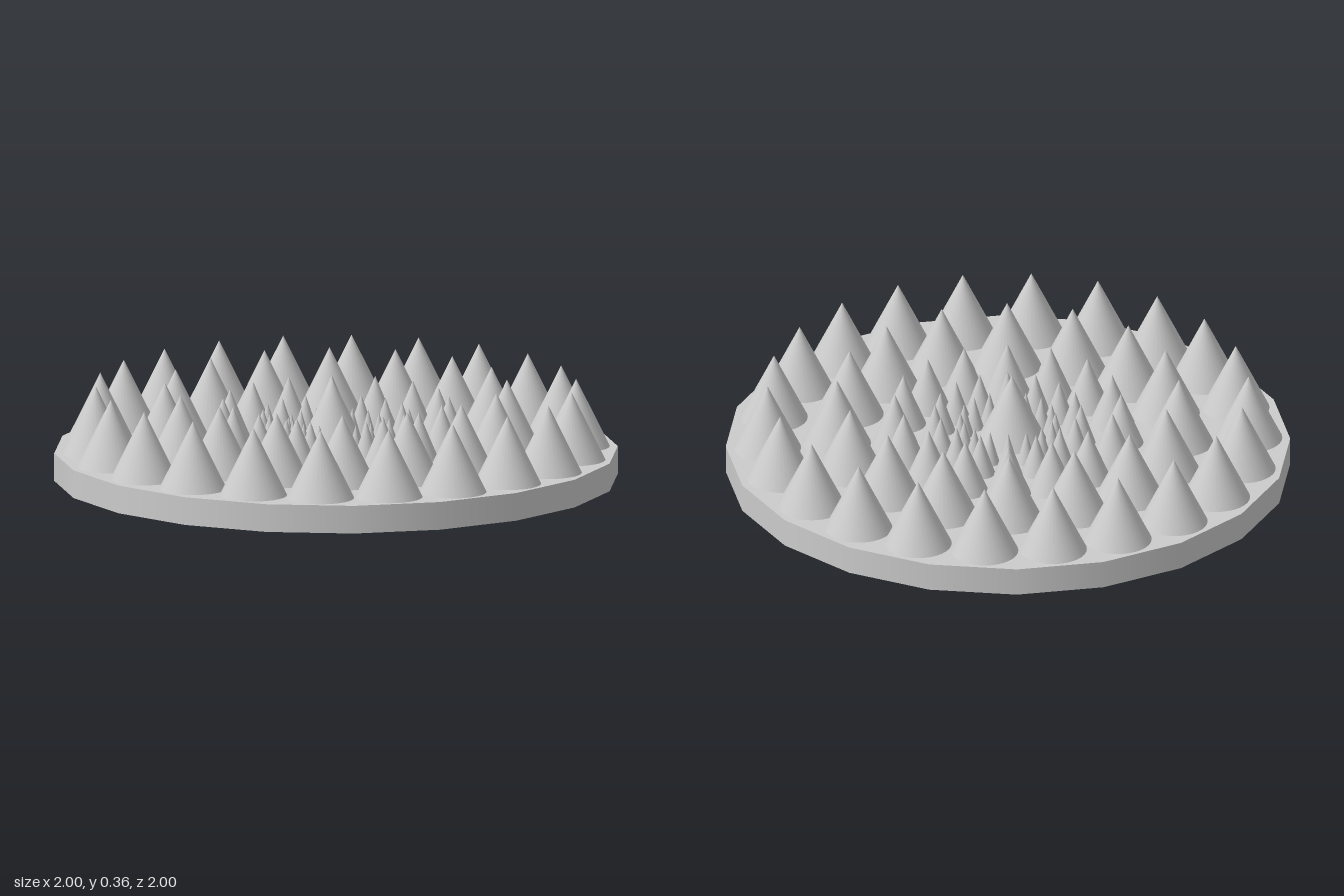
import * as THREE from 'three';

export function createModel() {
  const model = new THREE.Group();
  const grey = new THREE.MeshStandardMaterial({ color: 0xcccccc });
  const thin = new THREE.MeshStandardMaterial({ color: 0xcccccc, side: THREE.DoubleSide });

  // Shallow twenty-sided tray, open underneath
  const PLATE = 0.1;
  const plate = new THREE.Group();
  plate.name = 'plate';
  const rim = new THREE.Mesh(new THREE.CylinderGeometry(1, 1, PLATE, 20, 1, true), thin);
  rim.name = 'plateRim';
  rim.position.y = PLATE / 2;
  const top = new THREE.Mesh(new THREE.CircleGeometry(1, 20).rotateX(-Math.PI / 2), thin);
  top.name = 'plateTop';
  top.position.y = PLATE;
  plate.add(rim, top);
  model.add(plate);

  // One spike standing on the plate, from its base height to its tip
  function spike(name, radius, base, tip, x, z) {
    const geometry = new THREE.ConeGeometry(radius, tip - base, 32);
    const mesh = new THREE.Mesh(geometry, grey);
    mesh.name = name;
    mesh.position.set(x, (base + tip) / 2, z);
    return mesh;
  }

  // Concentric rings of spikes, shrinking towards the middle
  const rings = [
    { name: 'outerRing', count: 22, ring: 0.853, radius: 0.122, base: 0.095, tip: 0.343, turn: -4.1 },
    { name: 'secondRing', count: 16, ring: 0.606, radius: 0.122, base: 0.098, tip: 0.348, turn: -12 },
    { name: 'thirdRing', count: 16, ring: 0.4, radius: 0.08, base: 0.1, tip: 0.29, turn: -12 },
    { name: 'fourthRing', count: 16, ring: 0.258, radius: 0.052, base: 0.1, tip: 0.25, turn: -12 },
    { name: 'innerRing', count: 16, ring: 0.168, radius: 0.034, base: 0.1, tip: 0.22, turn: -12 },
  ];
  for (const r of rings) {
    const group = new THREE.Group();
    group.name = r.name;
    for (let i = 0; i < r.count; i++) {
      const a = THREE.MathUtils.degToRad(r.turn + (i * 360) / r.count);
      group.add(spike('spike', r.radius, r.base, r.tip, r.ring * Math.cos(a), r.ring * Math.sin(a)));
    }
    model.add(group);
  }

  // Large spike in the middle
  model.add(spike('centreSpike', 0.122, 0.11, 0.36, -0.007, 0.014));
  return model;
}
